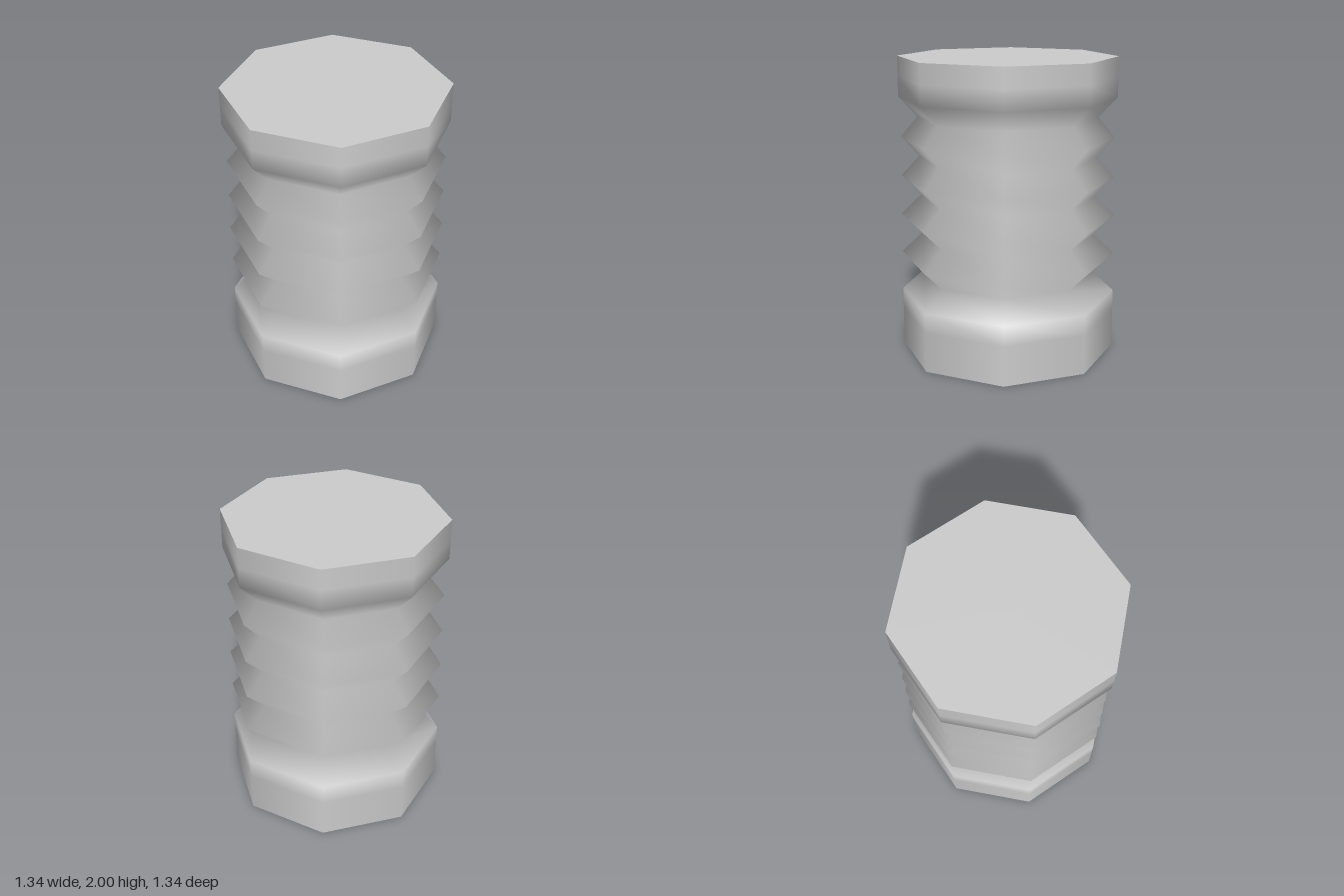
import * as THREE from 'three';

const SIDES = 8;
const TURN = Math.PI / SIDES; // puts a flat side towards each axis
const HEIGHT = 2;
const TO_CORNER = 1 / Math.cos(TURN); // flat-side distance to corner radius

// Distance from the axis to the flat sides, at evenly spaced heights
const HALF_WIDTHS = [
  0.67, 0.67, 0.67, 0.67, // base collar
  0.537, 0.668, 0.54, 0.667, 0.542, 0.661, 0.548, 0.657, 0.555, // ridges
  0.67, 0.67, 0.67, // top collar
];

export function createModel() {
  const group = new THREE.Group();
  group.name = 'ridgedColumn';
  const material = new THREE.MeshStandardMaterial({ color: 0xcccccc });

  const add = (name, geometry, y = 0) => {
    const mesh = new THREE.Mesh(geometry, material);
    mesh.name = name;
    mesh.position.y = y;
    group.add(mesh);
  };

  // Octagonal body with two collars and zigzag ridges, smoothly shaded
  const step = HEIGHT / (HALF_WIDTHS.length - 1);
  const profile = HALF_WIDTHS.map((w, i) => new THREE.Vector2(w * TO_CORNER, i * step));
  add('ridgedBody', new THREE.LatheGeometry(profile, SIDES, TURN));

  // Flat end caps
  const cap = () => new THREE.CircleGeometry(HALF_WIDTHS[0] * TO_CORNER, SIDES, TURN);
  add('topCap', cap().rotateX(-Math.PI / 2), HEIGHT);
  add('bottomCap', cap().rotateX(Math.PI / 2));

  return group;
}
